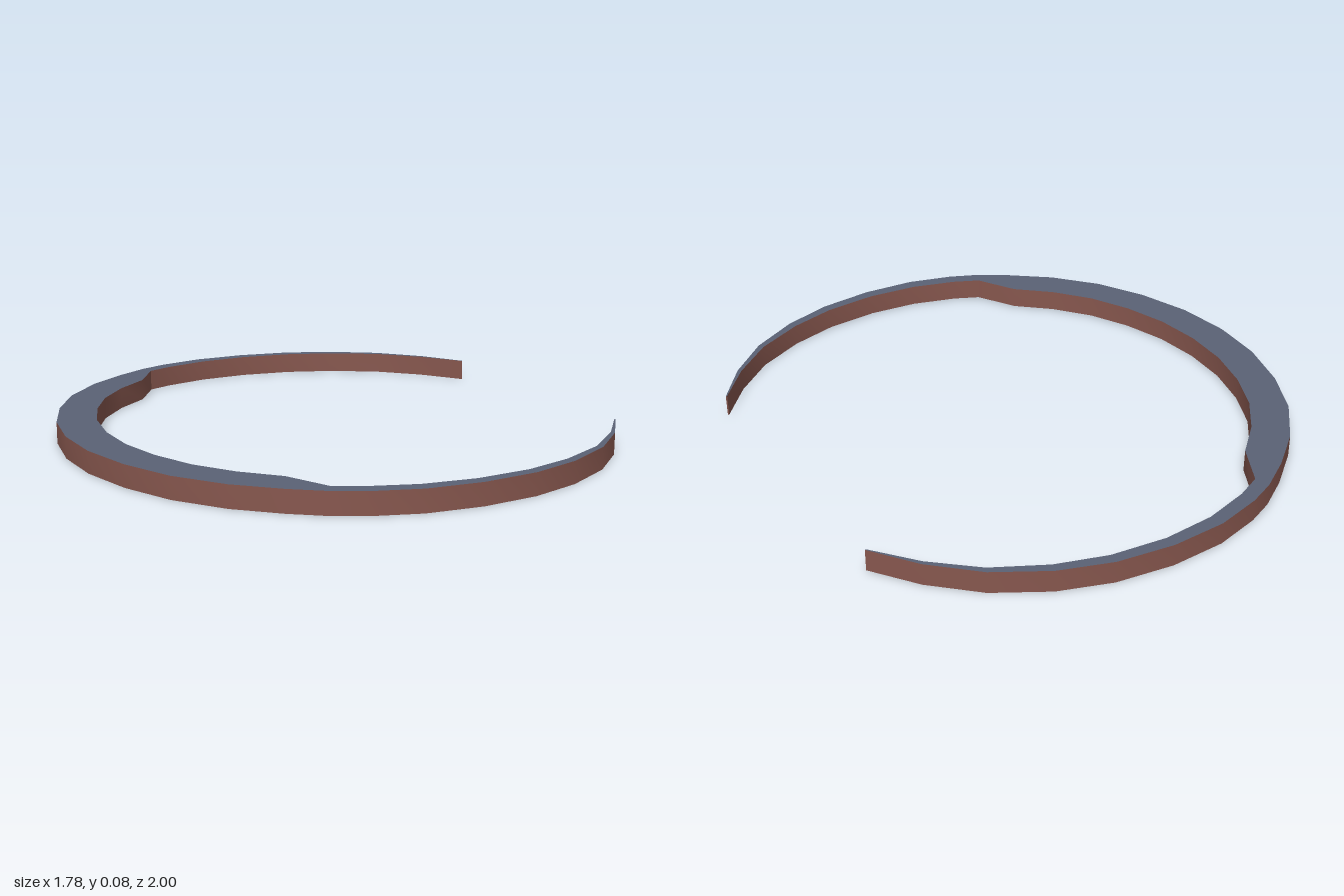
import * as THREE from 'three';
import { toCreasedNormals } from 'three/addons/utils/BufferGeometryUtils.js';

const HEIGHT = 0.075;

// Half outlines from the middle of the band (x = -0.89) to the open tip
const OUTER = [[-0.89, 0], [-0.87, 0.2], [-0.81, 0.395], [-0.72, 0.57], [-0.595, 0.72], [-0.46, 0.83],
  [-0.345, 0.905], [-0.25, 0.947], [-0.09, 0.99], [0.1, 1], [0.295, 0.975], [0.47, 0.915],
  [0.64, 0.815], [0.78, 0.68], [0.887, 0.53]];
const INNER = [[-0.752, 0], [-0.737, 0.17], [-0.692, 0.33], [-0.622, 0.478], [-0.525, 0.605], [-0.41, 0.71],
  [-0.33, 0.855], [-0.24, 0.897], [-0.08, 0.943], [0.1, 0.958], [0.29, 0.938], [0.46, 0.885],
  [0.63, 0.795], [0.77, 0.67], [0.882, 0.53]];

// Mirrors a half outline into a full arc running from tip to tip
function mirrored(half) {
  const other = half.slice(1).reverse().map(([x, y]) => [x, -y]);
  return [...other, ...half].map(([x, y]) => new THREE.Vector2(x, y));
}

export function createModel() {
  const group = new THREE.Group();
  group.name = 'openRing';

  // Crescent outline: out along the rim, back along the inner edge
  const shape = new THREE.Shape([...mirrored(OUTER), ...mirrored(INNER).reverse()]);
  const extruded = new THREE.ExtrudeGeometry(shape, { depth: HEIGHT, bevelEnabled: false, steps: 1 });
  extruded.rotateX(-Math.PI / 2);

  // Smooth walls with sharp rims; flat faces and walls differ in colour
  const geometry = toCreasedNormals(extruded, 0.6);
  const faces = new THREE.MeshStandardMaterial({ color: 0x5a6275 });
  const walls = new THREE.MeshStandardMaterial({ color: 0x87574e });
  const band = new THREE.Mesh(geometry, [faces, walls]);
  band.name = 'crescentBand';
  group.add(band);

  return group;
}
